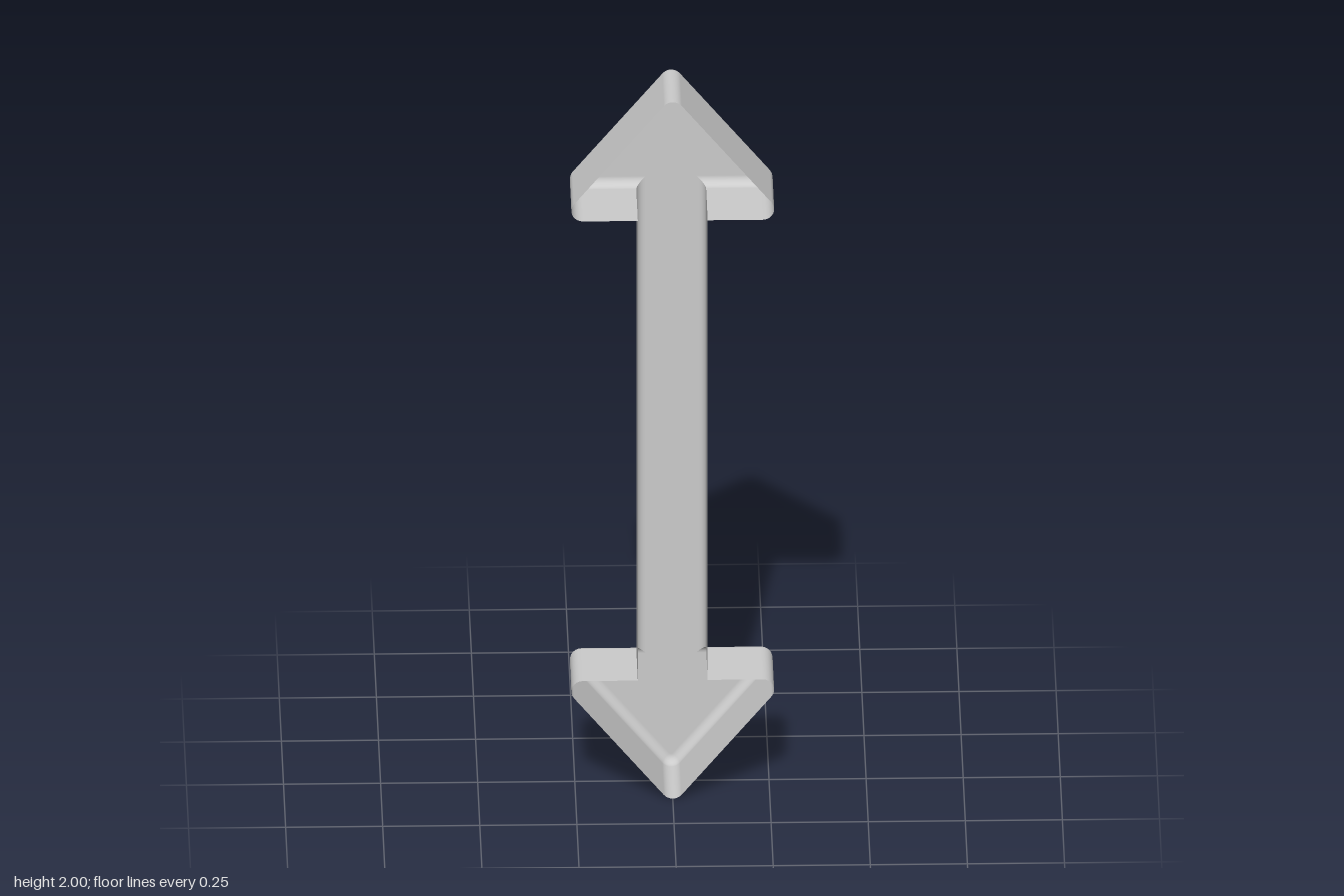
import * as THREE from 'three';

const FRONT = 0.105, BACK = -0.105; // open front rim, closed back
const FILLET = 0.025, ROUND = 0.03; // back edge fillet, outline corner radius
const ARC_STEPS = 8, FILLET_STEPS = 6;

// Sharp outline of the double-headed arrow, counter-clockwise, top half then its mirror
const half = [[0.09, 1.66], [0.295, 1.66], [0, 2.017], [-0.295, 1.66], [-0.09, 1.66]];
const corners = [...half, ...half.map(([x, y]) => [-x, 2 - y])].map(([x, y]) => new THREE.Vector2(x, y));

const edgeNormal = (a, b) => new THREE.Vector2(b.y - a.y, a.x - b.x).normalize();

// Outline inset by d: outer corners are rounded, inner corners stay sharp with split normals
function outline(d) {
  const result = [];
  corners.forEach((corner, i) => {
    const n = corners.length;
    const n1 = edgeNormal(corners[(i + n - 1) % n], corner);
    const n2 = edgeNormal(corner, corners[(i + 1) % n]);
    const sweep = Math.atan2(n1.cross(n2), n1.dot(n2));
    const convex = sweep > 0;
    const radius = convex ? ROUND : d;
    const steps = convex ? ARC_STEPS : 1;
    const centre = corner.clone().addScaledVector(n1.clone().add(n2), -radius / (1 + n1.dot(n2)));
    for (let k = 0; k <= steps; k++) {
      const angle = n1.angle() + (sweep * k) / steps;
      const normal = new THREE.Vector2(Math.cos(angle), Math.sin(angle));
      result.push({ normal, point: centre.clone().addScaledVector(normal, radius - d) });
    }
  });
  return result;
}

// Side wall: straight from the front rim, then rolled over into the back
function wallGeometry() {
  const rows = [{ z: FRONT, a: 0 }];
  for (let k = 0; k <= FILLET_STEPS; k++) {
    const a = (k / FILLET_STEPS) * Math.PI / 2;
    rows.push({ z: BACK + FILLET * (1 - Math.sin(a)), a });
  }
  const positions = [], normals = [], index = [];
  let count = 0;
  rows.forEach(({ z, a }) => {
    const ring = outline(FILLET * (1 - Math.cos(a)));
    count = ring.length;
    for (const { point, normal } of ring) {
      positions.push(point.x, point.y, z);
      normals.push(normal.x * Math.cos(a), normal.y * Math.cos(a), -Math.sin(a));
    }
  });
  for (let r = 0; r < rows.length - 1; r++) {
    for (let i = 0; i < count; i++) {
      const j = (i + 1) % count;
      const f0 = r * count + i, f1 = r * count + j;
      index.push(f0 + count, f1 + count, f1, f0 + count, f1, f0);
    }
  }
  const geometry = new THREE.BufferGeometry();
  geometry.setAttribute('position', new THREE.Float32BufferAttribute(positions, 3));
  geometry.setAttribute('normal', new THREE.Float32BufferAttribute(normals, 3));
  geometry.setIndex(index);
  return geometry;
}

// Flat back plate, turned to face -z
function plateGeometry() {
  const shape = new THREE.Shape(outline(FILLET).map(({ point }) => point));
  return new THREE.ShapeGeometry(shape).rotateY(Math.PI).translate(0, 0, BACK);
}

export function createModel() {
  const group = new THREE.Group();
  group.name = 'doubleArrowShell';
  const material = new THREE.MeshStandardMaterial({ color: 0xcccccc, side: THREE.DoubleSide });
  const add = (name, geometry) => {
    const mesh = new THREE.Mesh(geometry, material);
    mesh.name = name;
    group.add(mesh);
  };
  add('sideWall', wallGeometry());
  add('backPlate', plateGeometry());
  return group;
}
